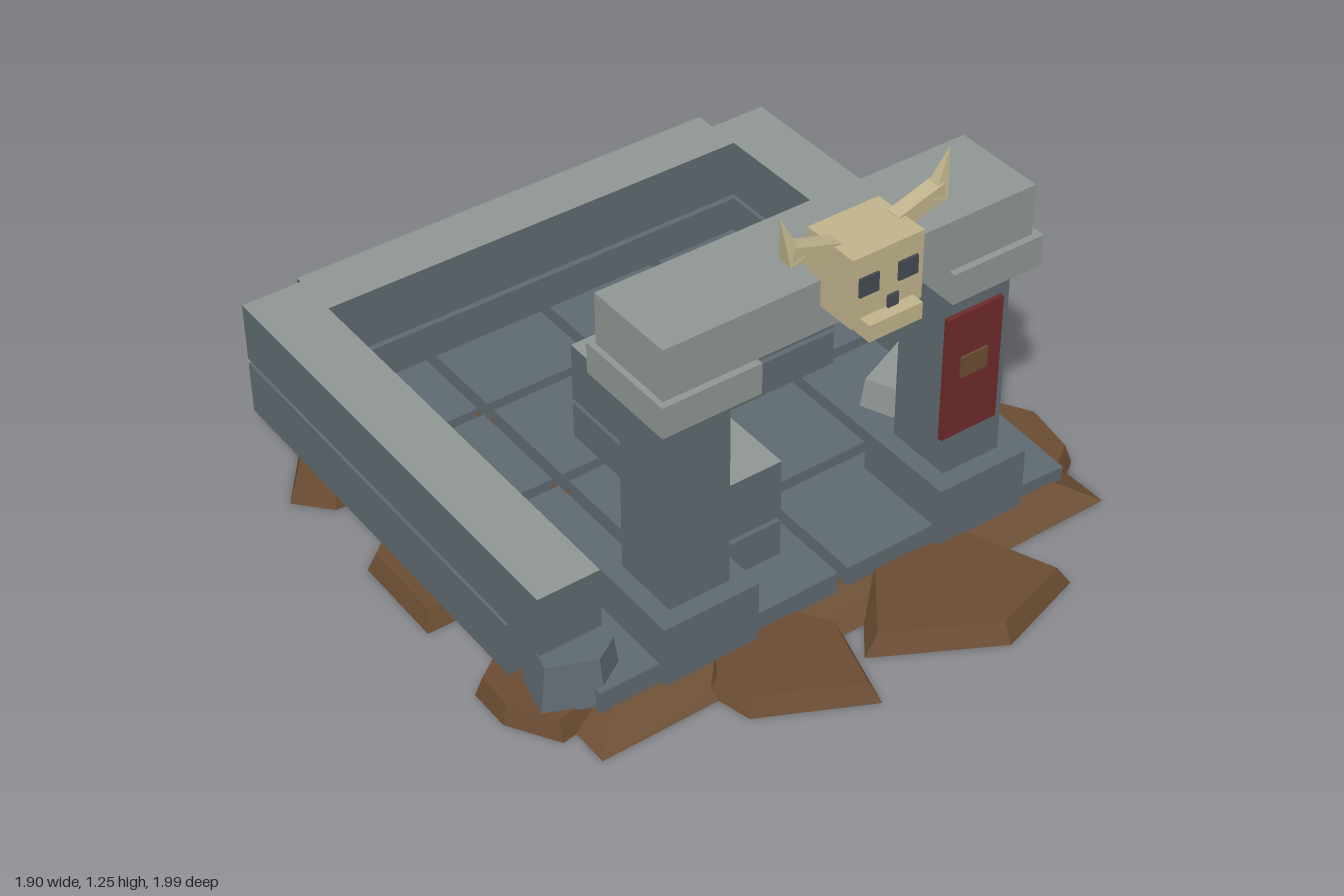
import * as THREE from 'three';

const mat = (name, color) => {
  const m = new THREE.MeshStandardMaterial({ color });
  m.name = name;
  return m;
};

// Straight-edged block with any outline [x, z], narrowing towards its top
function taperedBlock(outline, y0, y1, topScale) {
  let area = 0;
  const n = outline.length;
  outline.forEach(([x, z], i) => {
    const [x2, z2] = outline[(i + 1) % n];
    area += x * z2 - x2 * z;
  });
  const pts = area > 0 ? [...outline].reverse() : outline;
  const cx = pts.reduce((s, p) => s + p[0], 0) / n;
  const cz = pts.reduce((s, p) => s + p[1], 0) / n;
  const low = pts.map(([x, z]) => [x, y0, z]);
  const high = pts.map(([x, z]) => [cx + (x - cx) * topScale, y1, cz + (z - cz) * topScale]);
  const v = [];
  for (let i = 0; i < n; i++) {
    const j = (i + 1) % n;
    v.push(...low[i], ...low[j], ...high[j], ...low[i], ...high[j], ...high[i]);
    v.push(cx, y1, cz, ...high[i], ...high[j]);
    v.push(cx, y0, cz, ...low[j], ...low[i]);
  }
  const g = new THREE.BufferGeometry();
  g.setAttribute('position', new THREE.Float32BufferAttribute(v, 3));
  g.computeVertexNormals();
  return g;
}

export function createModel() {
  const model = new THREE.Group();
  model.name = 'ruin';
  const stone = mat('slate stone', 0x5f6a71);
  const pale = mat('pale stone', 0x8f9693);
  const earth = mat('earth', 0x6b4c32);
  const bone = mat('bone', 0xc0b48c);
  const cloth = mat('red cloth', 0x6e2a2b);
  const dark = mat('dark socket', 0x444b52);

  const add = (name, geo, material, parent = model) => {
    const m = new THREE.Mesh(geo, material);
    m.name = name;
    parent.add(m);
    return m;
  };
  // Box given by its limits on each axis
  const box = (name, material, x0, x1, y0, y1, z0, z1, parent = model) => {
    const m = add(name, new THREE.BoxGeometry(x1 - x0, y1 - y0, z1 - z0), material, parent);
    m.position.set((x0 + x1) / 2, (y0 + y1) / 2, (z0 + z1) / 2);
    return m;
  };

  // Earth bed and the clods around its rim
  add('earthBed', taperedBlock([[-0.82, -0.85], [0.71, -0.85], [0.71, 0.73], [-0.82, 0.73]], 0, 0.05, 0.87), earth);
  const clods = [
    [[-0.53, -0.89], [-0.26, -1], [-0.15, -0.94], [-0.12, -0.8], [-0.24, -0.62], [-0.46, -0.68]],
    [[0.07, -0.99], [0.34, -0.9], [0.36, -0.79], [0.25, -0.64], [0.02, -0.77]],
    [[0.75, -0.68], [0.83, -0.56], [0.81, -0.47], [0.74, -0.38], [0.55, -0.45], [0.6, -0.65]],
    [[0.58, -0.22], [0.95, -0.22], [0.95, 0.06], [0.84, 0.14], [0.58, 0.14]],
    [[0.71, 0.28], [0.78, 0.4], [0.75, 0.57], [0.65, 0.64], [0.48, 0.55], [0.52, 0.3]],
    [[-0.13, 0.82], [0.18, 0.99], [0.44, 0.91], [0.33, 0.64], [0.04, 0.6]],
    [[-0.5, 0.7], [-0.47, 0.82], [-0.19, 0.96], [-0.12, 0.72], [-0.22, 0.56], [-0.42, 0.58]],
    [[-0.94, 0.38], [-0.87, 0.33], [-0.68, 0.4], [-0.68, 0.6], [-0.86, 0.63], [-0.94, 0.5]],
    [[-0.92, -0.14], [-0.86, -0.19], [-0.58, -0.17], [-0.58, 0.14], [-0.92, 0.14]],
    [[-0.95, -0.47], [-0.84, -0.62], [-0.65, -0.58], [-0.62, -0.36], [-0.87, -0.38]],
  ];
  clods.forEach((c, i) => add('earthClod', taperedBlock(c, 0, 0.052 + 0.004 * (i % 2), 0.87), earth));

  // Paving slabs, with the front left corner one sunk and tilted
  for (let i = 0; i < 4; i++) {
    for (let j = 0; j < 4; j++) {
      const x = -0.595 + 0.36 * i, z = -0.558 + 0.346 * j;
      const slab = box('pavingSlab', stone, x - 0.165, x + 0.165, 0.04, 0.105, z - 0.158, z + 0.158);
      if (i === 3 && j === 3) {
        slab.position.y = 0.064;
        slab.rotation.set(0.05, 0, -0.06);
      }
    }
  }

  // Walls in two courses; the upper course has a pale top
  const cappedFaces = [stone, stone, pale, stone, stone, stone];
  const wall = (name, x0, x1, z0, z1, lowerZ1 = z1) => {
    box(name + 'LowerCourse', stone, x0, x1, 0.055, 0.21, z0, lowerZ1);
    box(name + 'UpperCourse', cappedFaces, x0, x1, 0.225, 0.395, z0, z1);
  };
  wall('rightWall', -0.87, -0.7, -0.79, 0.56, 0.42);
  wall('backWall', -0.7, 0.575, -0.81, -0.65);
  wall('leftWall', 0.575, 0.745, -0.75, 0.1);
  wall('innerCrossWall', -0.29, 0.425, -0.165, -0.01);
  wall('innerLongWall', -0.29, -0.14, -0.01, 0.5);

  // Gateway
  for (const x of [-0.46, 0.36]) {
    box('pillarBase', stone, x - 0.135, x + 0.135, 0.05, 0.225, 0.37, 0.66);
    box('pillar', stone, x - 0.086, x + 0.086, 0.225, 0.79, 0.42, 0.61);
    box('capital', pale, x - 0.135, x + 0.135, 0.79, 0.875, 0.37, 0.66);
  }
  box('lintel', pale, -0.58, 0.475, 0.875, 1.015, 0.385, 0.642);

  // Hanging banner
  box('banner', cloth, 0.235, 0.405, 0.365, 0.725, 0.625, 0.638);
  box('bannerPatch', earth, 0.28, 0.36, 0.54, 0.6, 0.638, 0.645);

  // Horned skull
  const skull = new THREE.Group();
  skull.name = 'skull';
  skull.position.x = -0.053;
  model.add(skull);
  box('cranium', bone, -0.1, 0.1, 0.945, 1.13, 0.59, 0.75, skull);
  box('jaw', bone, -0.075, 0.075, 0.92, 0.965, 0.643, 0.785, skull);
  box('noseHole', dark, -0.015, 0.015, 0.98, 1.013, 0.767, 0.773, skull);
  const hornBase = new THREE.Shape([[0.08, 1.085], [0.215, 1.13], [0.208, 1.172], [0.08, 1.132]]
    .map(([x, y]) => new THREE.Vector2(x, y)));
  for (const s of [-1, 1]) {
    box('eyeSocket', dark, s * 0.055 - 0.027, s * 0.055 + 0.027, 1.025, 1.075, 0.749, 0.756, skull);
    const horn = new THREE.Group();
    horn.name = 'horn';
    horn.scale.x = s;
    skull.add(horn);
    add('hornBase', new THREE.ExtrudeGeometry(hornBase, { depth: 0.04, bevelEnabled: false }), bone, horn)
      .position.z = 0.645;
    const tip = add('hornTip', new THREE.ConeGeometry(0.03, 0.125, 4).rotateY(Math.PI / 4).toNonIndexed(), bone, horn);
    tip.geometry.computeVertexNormals();
    tip.position.set(0.218, 1.192, 0.665);
    tip.rotation.z = -0.3;
  }

  // Fallen stones
  add('paleRubble', taperedBlock([[0.37, 0.17], [0.58, 0.08], [0.645, 0.23], [0.61, 0.29], [0.445, 0.345]], 0.1, 0.19, 0.92), pale);
  add('slateRubble', taperedBlock([[-0.88, 0.57], [-0.85, 0.44], [-0.73, 0.4], [-0.625, 0.43], [-0.66, 0.58], [-0.74, 0.63]], 0.05, 0.18, 0.84), stone);
  return model;
}
